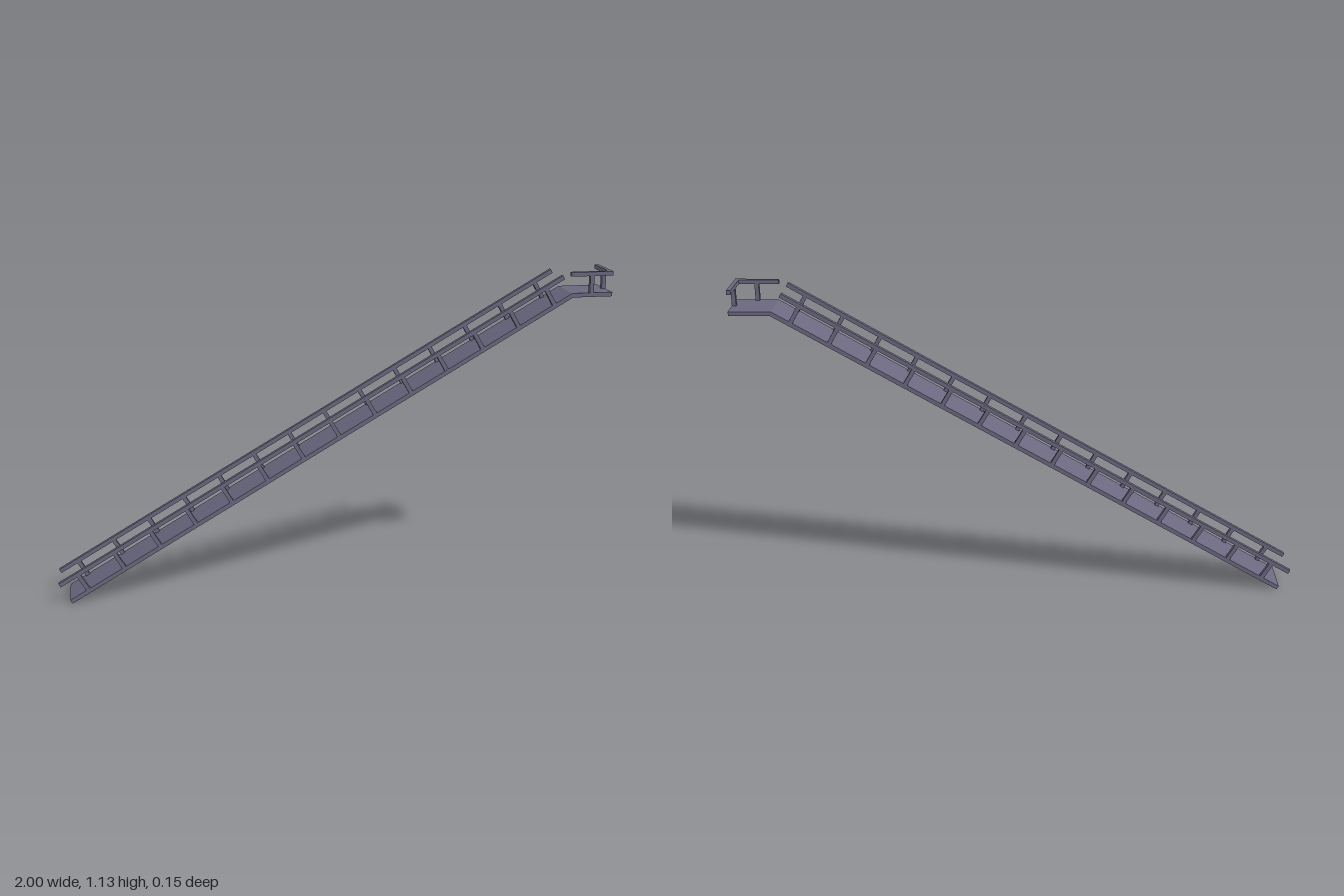
import * as THREE from 'three';

export function createModel() {
  const model = new THREE.Group();
  model.name = 'rampWalkway';
  const material = new THREE.MeshStandardMaterial({ color: 0x6b6880 });

  const halfWidth = 0.075; // half the walkway width
  const bar = 0.015;       // thickness of deck, rails and posts
  const gap = 0.06;        // clear height between deck and rail
  const railZ = halfWidth - bar / 2;
  const landingTop = 1.06;
  const landingStart = 0.851;
  const slope = Math.PI / 6;
  const foot = new THREE.Vector2(-0.9625, 0.013);
  const rampLength = (landingStart - foot.x) / Math.cos(slope);

  function addBox(parent, name, size, position) {
    const mesh = new THREE.Mesh(new THREE.BoxGeometry(...size), material);
    mesh.name = name;
    mesh.position.set(...position);
    parent.add(mesh);
  }

  // Deck: sloped run and level landing as one side profile
  const profile = new THREE.Shape([
    new THREE.Vector2(-0.955, 0),
    new THREE.Vector2(0.855, landingTop - bar),
    new THREE.Vector2(1, landingTop - bar),
    new THREE.Vector2(1, landingTop),
    new THREE.Vector2(landingStart, landingTop),
    foot,
  ]);
  const deckGeometry = new THREE.ExtrudeGeometry(profile, { depth: 2 * halfWidth, bevelEnabled: false });
  deckGeometry.translate(0, 0, -halfWidth);
  const deck = new THREE.Mesh(deckGeometry, material);
  deck.name = 'deck';
  model.add(deck);

  // Sloped railings: local x runs up the ramp, local y is square to it
  const postCount = 14;
  for (const side of [1, -1]) {
    const railing = new THREE.Group();
    railing.name = side > 0 ? 'frontRailing' : 'backRailing';
    railing.position.set(foot.x, foot.y, side * railZ);
    railing.rotation.z = slope;
    addBox(railing, 'handrail', [rampLength, bar, bar], [rampLength / 2, gap + bar / 2, 0]);
    for (let i = 0; i < postCount; i++) {
      addBox(railing, 'post', [bar, gap, bar], [(i + 0.5) * rampLength / postCount, gap / 2, 0]);
    }
    model.add(railing);
  }

  // Landing railing: along the front and across the far end, back left open
  const landing = new THREE.Group();
  landing.name = 'landingRailing';
  const railStart = 0.845;
  const railY = landingTop + gap + bar / 2;
  const postY = landingTop + gap / 2;
  const endX = 1 - bar / 2;
  addBox(landing, 'frontHandrail', [1 - railStart, bar, bar], [(1 + railStart) / 2, railY, railZ]);
  addBox(landing, 'endHandrail', [bar, bar, 2 * halfWidth - bar], [endX, railY, -bar / 2]);
  addBox(landing, 'frontPost', [bar, gap, bar], [0.923, postY, railZ]);
  addBox(landing, 'endPost', [bar, gap, bar], [endX, postY, 0]);
  model.add(landing);

  return model;
}
